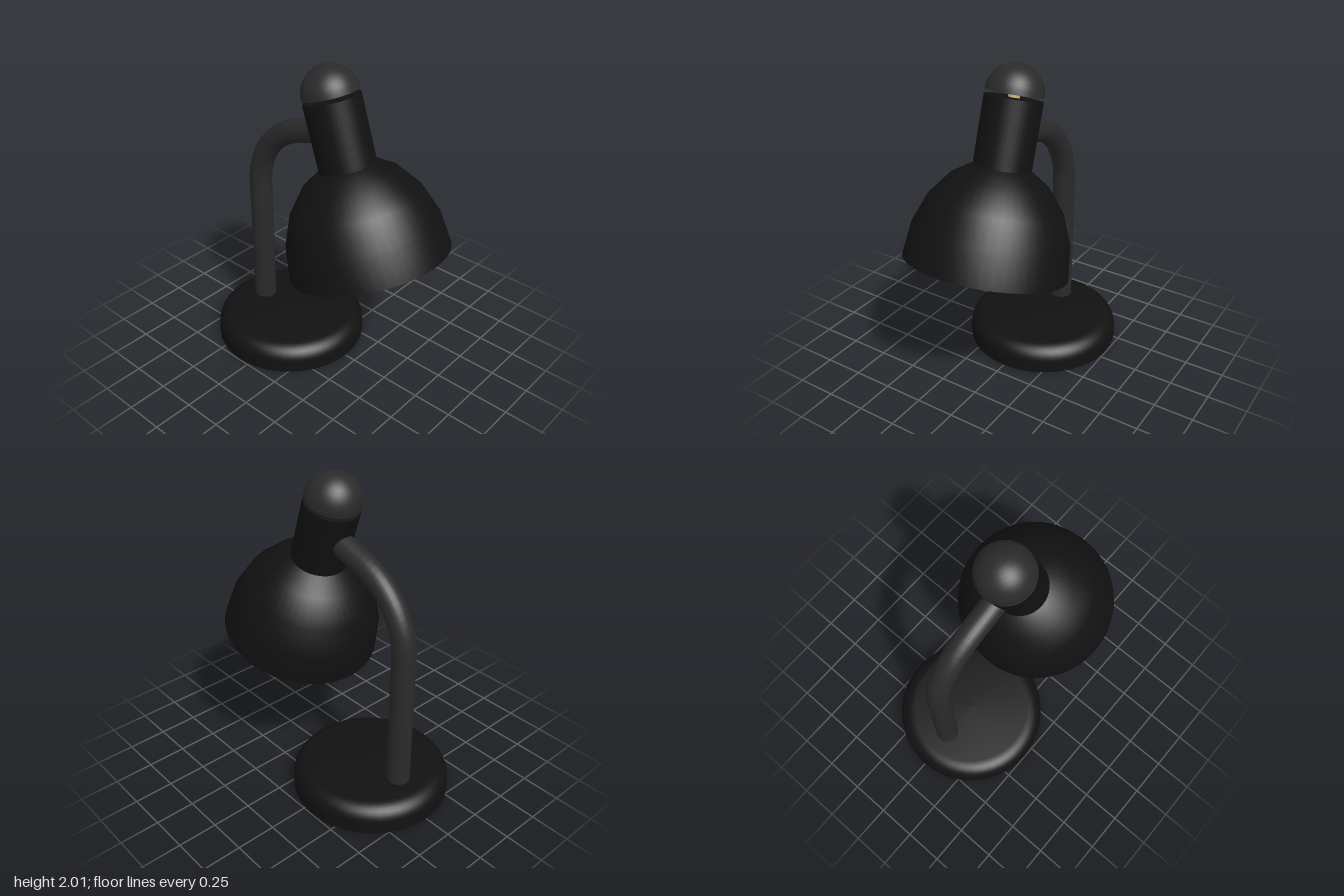
import * as THREE from 'three';
import { toCreasedNormals } from 'three/addons/utils/BufferGeometryUtils.js';

const BLACK = 0x111111, CHARCOAL = 0x2a2a2a, BRASS = 0xc8b070, LINING = 0xcccccc;

function part(name, geometry, color, flatShading = false) {
  const material = new THREE.MeshStandardMaterial({ color, flatShading });
  const mesh = new THREE.Mesh(geometry, material);
  mesh.name = name;
  return mesh;
}

// Lathe with smooth curves but sharp corners
function lathe(points, segments = 48) {
  return toCreasedNormals(new THREE.LatheGeometry(points, segments), 0.7);
}

// Quarter ellipse from the rim up to the crown
function quarterEllipse(radius, height, steps) {
  const points = [];
  for (let i = 0; i <= steps; i++) {
    const a = (i / steps) * Math.PI / 2;
    points.push(new THREE.Vector2(i === steps ? 0 : radius * Math.cos(a), height * Math.sin(a)));
  }
  return points;
}

export function createModel() {
  const model = new THREE.Group();
  model.name = 'deskLamp';

  // Round base with a rounded upper edge
  const baseProfile = [new THREE.Vector2(0, 0), new THREE.Vector2(0.495, 0)];
  for (const p of quarterEllipse(0.1, 0.1, 8)) {
    baseProfile.push(new THREE.Vector2(0.395 + p.x, 0.07 + p.y));
  }
  baseProfile.push(new THREE.Vector2(0, 0.17));
  const base = part('base', lathe(baseProfile), BLACK);
  base.position.z = -0.325;
  model.add(base);

  // Arm: upright post, 72 degree bend, short straight run into the neck
  const tilt = Math.PI / 10, bend = 0.49, postZ = -0.57, bendY = 1.055;
  const path = new THREE.CurvePath();
  const v = (y, z) => new THREE.Vector3(0, y, z);
  const points = [];
  for (let i = 0; i <= 16; i++) {
    const a = (i / 16) * (Math.PI / 2 - tilt);
    points.push(v(bendY + bend * Math.sin(a), postZ + bend * (1 - Math.cos(a))));
  }
  const end = points[points.length - 1];
  points.unshift(v(0.1, postZ));
  points.push(v(end.y + 0.26 * Math.sin(tilt), end.z + 0.26 * Math.cos(tilt)));
  for (let i = 1; i < points.length; i++) path.add(new THREE.LineCurve3(points[i - 1], points[i]));
  model.add(part('arm', new THREE.TubeGeometry(path, 96, 0.073, 24), CHARCOAL));

  // Lamp head, built upright with its rim at the origin, then tilted forward
  const head = new THREE.Group();
  head.name = 'lampHead';
  head.position.set(0, 0.859, 0.35);
  head.rotation.x = -tilt;
  model.add(head);

  const shell = [new THREE.Vector2(0.475, 0), ...quarterEllipse(0.497, 0.64, 5)];
  head.add(part('shade', lathe(shell), BLACK));
  const inner = quarterEllipse(0.476, 0.615, 5).reverse();
  head.add(part('shadeLining', new THREE.LatheGeometry(inner, 32), LINING, true));

  const neck = part('neck', new THREE.CylinderGeometry(0.173, 0.173, 0.415, 48), BLACK);
  neck.position.y = 0.7925;
  head.add(neck);

  // Brass pin carrying the domed cap above a narrow gap
  const pin = part('capPin', new THREE.CylinderGeometry(0.035, 0.035, 0.06, 20), BRASS);
  pin.position.y = 1.012;
  head.add(pin);

  const dome = [new THREE.Vector2(0, 0), ...quarterEllipse(0.173, 0.173, 10)];
  const cap = part('cap', lathe(dome), CHARCOAL);
  cap.position.y = 1.025;
  head.add(cap);

  return model;
}
